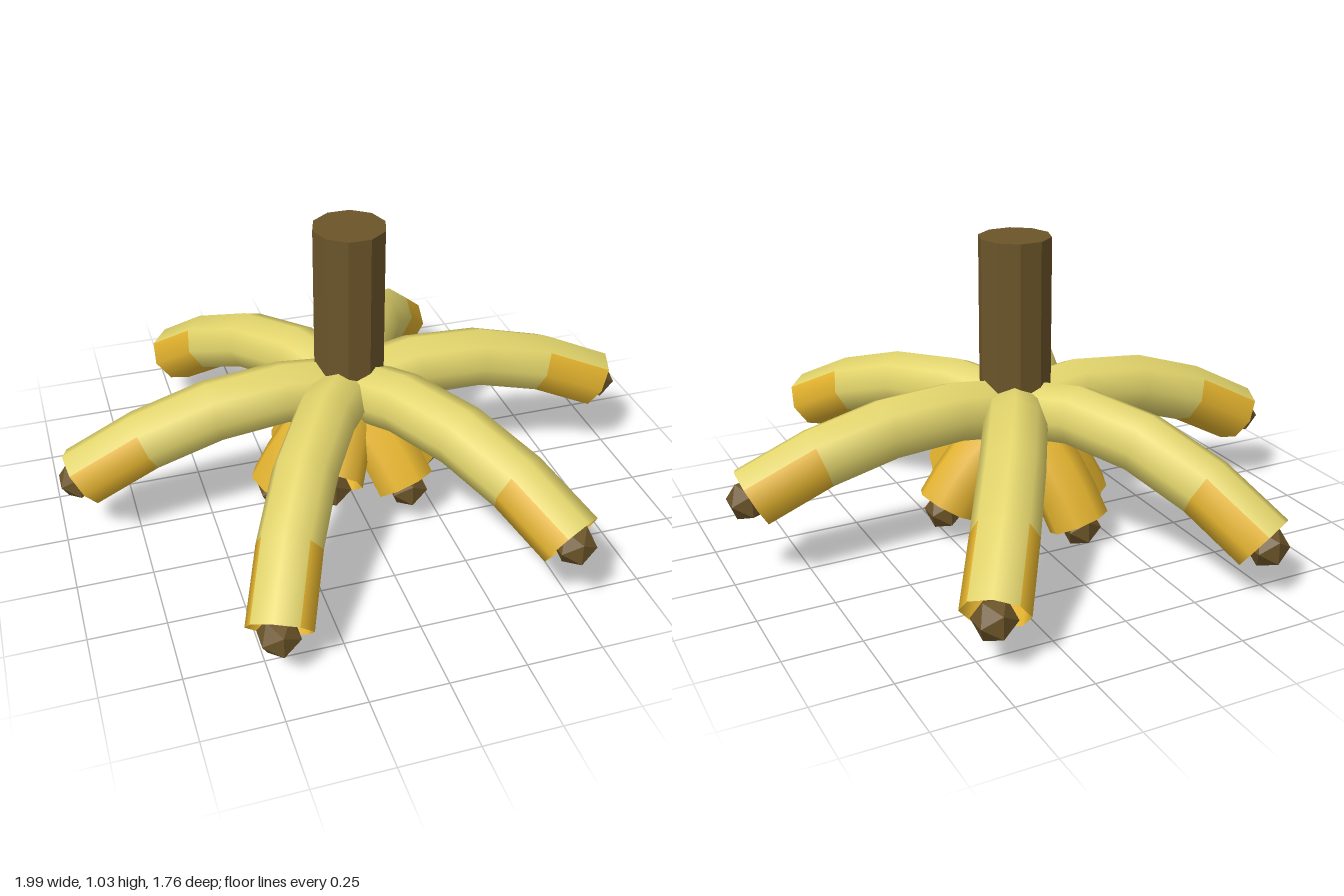
import * as THREE from 'three';

const pale = new THREE.MeshStandardMaterial({ color: 0xe3d56c, side: THREE.DoubleSide });
pale.name = 'paleYellow';
const gold = new THREE.MeshStandardMaterial({ color: 0xe2b22e, side: THREE.DoubleSide });
gold.name = 'goldenYellow';
const brown = new THREE.MeshStandardMaterial({ color: 0x6b5429 });
brown.name = 'stemBrown';

const SEGMENTS = 4, SIDES = 8, RADIUS = 0.105;

// Point at a horizontal distance along an angle, pushed sideways by "side"
function polar(angle, reach, y, side = 0) {
  const c = Math.cos(angle), s = Math.sin(angle);
  return new THREE.Vector3(c * reach - s * side, y, s * reach + c * side);
}

// Reorder faces into two groups: pale skin, then the golden underside of the last segment
function splitColours(geometry) {
  const index = geometry.index.array, normal = geometry.attributes.normal;
  const paleFaces = [], goldFaces = [];
  for (let q = 0; q < index.length; q += 6) {
    const quad = Array.from(index.slice(q, q + 6));
    const up = quad.reduce((sum, v) => sum + normal.getY(v), 0) / 6;
    const last = q / 6 >= (SEGMENTS - 1) * SIDES;
    (last && up < 0.45 ? goldFaces : paleFaces).push(...quad);
  }
  geometry.setIndex([...paleFaces, ...goldFaces]);
  geometry.addGroup(0, paleFaces.length, 0);
  geometry.addGroup(paleFaces.length, goldFaces.length, 1);
}

// One curved fruit: open tube with a faceted dark tip
function makeFruit(name, start, control, end, upper) {
  const fruit = new THREE.Group();
  fruit.name = name;
  const curve = new THREE.QuadraticBezierCurve3(start, control, end);
  const geometry = new THREE.TubeGeometry(curve, SEGMENTS, RADIUS, SIDES, false);
  if (upper) splitColours(geometry);
  const skin = new THREE.Mesh(geometry, upper ? [pale, gold] : gold);
  skin.name = 'skin';

  const tipGeometry = new THREE.IcosahedronGeometry(0.07, 0);
  const tip = new THREE.Mesh(tipGeometry, brown);
  tip.name = 'tip';
  tip.position.copy(end).addScaledVector(curve.getTangent(1), 0.015);
  fruit.add(skin, tip);
  return fruit;
}

export function createModel() {
  const model = new THREE.Group();
  model.name = 'fruitBunch';

  // Stem
  const stemGeometry = new THREE.CylinderGeometry(0.122, 0.122, 0.65, 10).toNonIndexed();
  stemGeometry.computeVertexNormals();
  const stem = new THREE.Mesh(stemGeometry, brown);
  stem.name = 'stem';
  stem.position.y = 0.725;
  stem.rotation.y = Math.PI / 10;
  model.add(stem);

  // Upper fruits: end height and sideways bend of each
  const upper = [[0.31, -0.025], [0.29, -0.01], [0.18, 0.03], [0.27, -0.02], [0.2, 0], [0.19, -0.02]];
  upper.forEach(([y, bend], i) => {
    const a = i * Math.PI / 3;
    model.add(makeFruit('upperFruit' + (i + 1), new THREE.Vector3(0, 0.45, 0),
      polar(a, 0.46, 0.56, bend * 2), polar(a, 0.925, y), true));
  });

  // Lower fruits: short, curling down beneath the upper ring
  const lower = [0.14, 0.17, 0.23, 0.09, 0.09, 0.23];
  lower.forEach((y, i) => {
    const a = i * Math.PI / 3;
    model.add(makeFruit('lowerFruit' + (i + 1), new THREE.Vector3(0, 0.4, 0),
      polar(a, 0.14, 0.33), polar(a, 0.26, y), false));
  });

  return model;
}
